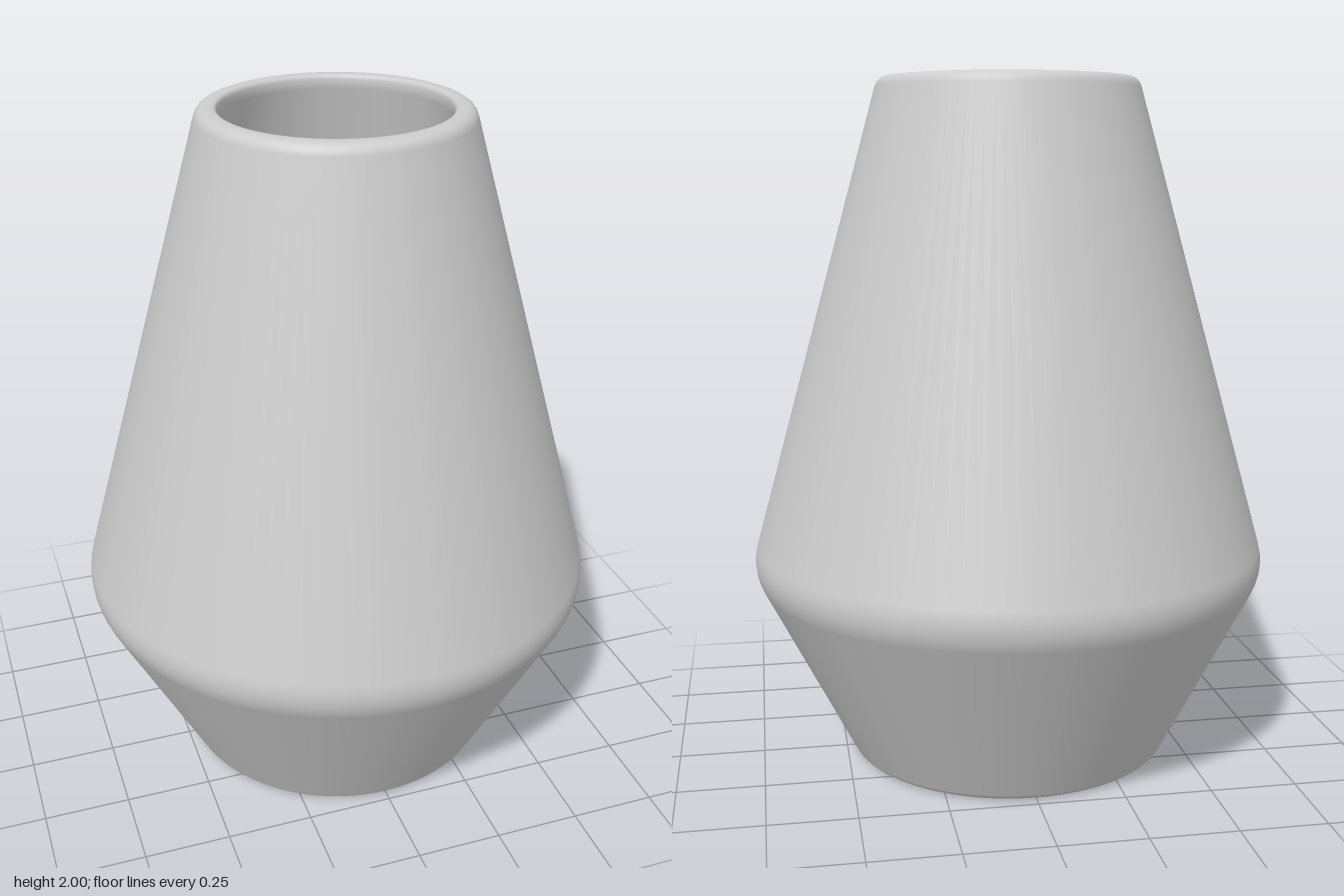
import * as THREE from 'three';

// Adds a small quadratic fillet around corner b, between a and c.
function fillet(a, b, c, r, steps = 5) {
  const p = b.clone().add(a.clone().sub(b).setLength(r));
  const q = b.clone().add(c.clone().sub(b).setLength(r));
  return new THREE.QuadraticBezierCurve(p, b, q).getPoints(steps);
}

// Rounds every inner corner of a polyline given as [radius, height, fillet].
function roundedProfile(corners) {
  const pts = corners.map(([x, y]) => new THREE.Vector2(x, y));
  const out = [pts[0]];
  for (let i = 1; i < pts.length - 1; i++) {
    out.push(...fillet(pts[i - 1], pts[i], pts[i + 1], corners[i][2]));
  }
  out.push(pts[pts.length - 1]);
  return out;
}

export function createModel() {
  const group = new THREE.Group();
  group.name = 'vase';
  const ceramic = new THREE.MeshStandardMaterial({ color: 0xcccccc });
  ceramic.name = 'grey ceramic';

  const addLathe = (name, corners) => {
    const mesh = new THREE.Mesh(new THREE.LatheGeometry(roundedProfile(corners), 96), ceramic);
    mesh.name = name;
    group.add(mesh);
  };

  // Base, outer wall and rounded lip
  addLathe('outerWall', [
    [0, 0], [0.47, 0, 0.02], [0.768, 0.58, 0.06], [0.375, 2, 0.03], [0.34, 2],
  ]);
  // Lip edge, hollow inner wall and floor
  addLathe('innerWall', [
    [0.34, 2], [0.319, 2, 0.015], [0.319, 1.97, 0.01], [0.705, 0.58, 0.06], [0.44, 0.06, 0.02], [0, 0.06],
  ]);
  return group;
}
